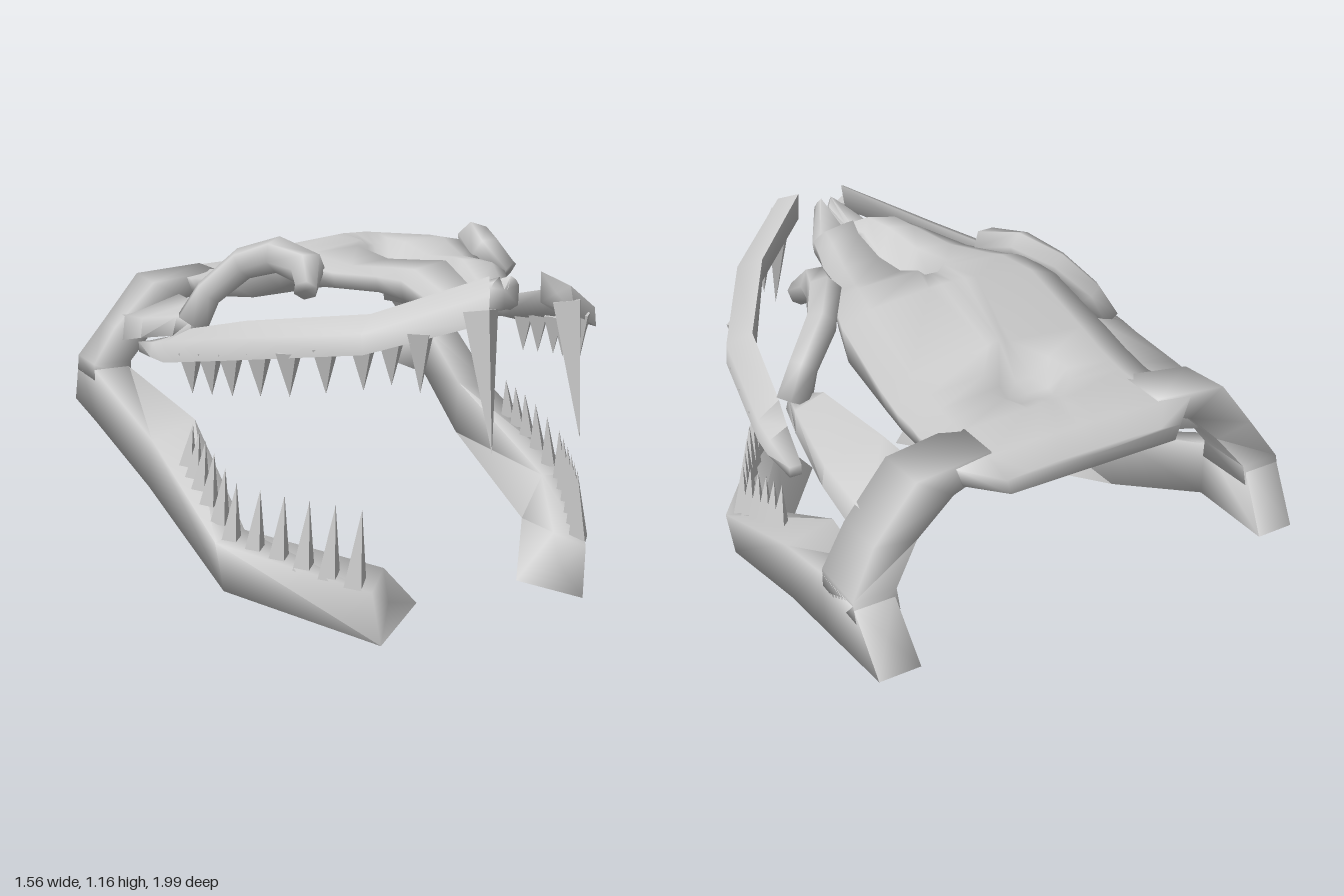
import * as THREE from 'three';
import { toCreasedNormals } from 'three/addons/utils/BufferGeometryUtils.js';

const bone = new THREE.MeshStandardMaterial({ color: 0xcccccc });
const V = (x, y, z) => new THREE.Vector3(x, y, z);

// Closed skin over a row of rings; each ring is a list of [x, y, z] corners.
function loft(name, rings, side = 1) {
  const n = rings[0].length, pos = [], idx = [];
  const last = (rings.length - 1) * n;
  for (const ring of rings) for (const [x, y, z] of ring) pos.push(x * side, y, z);
  for (let r = 0; r < rings.length - 1; r++) {
    for (let i = 0; i < n; i++) {
      const a = r * n + i, b = r * n + (i + 1) % n;
      idx.push(a, b, b + n, a, b + n, a + n);
    }
  }
  // end caps fan out from their centres
  for (const start of [0, last]) {
    const c = pos.length / 3, m = V(0, 0, 0);
    for (let i = 0; i < n; i++) m.add(V().fromArray(pos, (start + i) * 3));
    pos.push(...m.divideScalar(n).toArray());
    for (let i = 0; i < n; i++) {
      const a = start + i, b = start + (i + 1) % n;
      if (start === 0) idx.push(c, b, a); else idx.push(c, a, b);
    }
  }
  // turn the faces outward, judged by the enclosed volume
  const p = (i) => V().fromArray(pos, i * 3);
  let volume = 0;
  for (let i = 0; i < idx.length; i += 3) volume += p(idx[i]).dot(p(idx[i + 1]).cross(p(idx[i + 2])));
  if (volume < 0) idx.reverse();
  const g = new THREE.BufferGeometry();
  g.setAttribute('position', new THREE.Float32BufferAttribute(pos, 3));
  g.setIndex(idx);
  const mesh = new THREE.Mesh(toCreasedNormals(g, 1.75), bone);
  mesh.name = name;
  return mesh;
}

// Six-sided rod along a path, with a radius per point.
function rod(name, path, radii, side) {
  const pts = path.map((q) => V(...q));
  const rings = pts.map((q, k) => {
    const t = pts[Math.min(k + 1, pts.length - 1)].clone().sub(pts[Math.max(k - 1, 0)]).normalize();
    const u = V(1, 0.3, 0.9).cross(t).normalize(), w = t.clone().cross(u);
    return Array.from({ length: 6 }, (_, i) => {
      const a = i * Math.PI / 3;
      return q.clone().addScaledVector(u, Math.cos(a) * radii[k]).addScaledVector(w, Math.sin(a) * radii[k]).toArray();
    });
  });
  return loft(name, rings, side);
}

// Four-sided spike
function tooth(name, base, tip, radius, side) {
  const a = V(base.x * side, base.y, base.z), b = V(tip.x * side, tip.y, tip.z);
  const d = b.clone().sub(a);
  const mesh = new THREE.Mesh(toCreasedNormals(new THREE.ConeGeometry(radius, d.length(), 4), 0.5), bone);
  mesh.quaternion.setFromUnitVectors(V(0, 1, 0), d.normalize());
  mesh.position.copy(a).add(b).multiplyScalar(0.5);
  mesh.name = name;
  return mesh;
}

// Point at fraction t of a polyline
function along(points, t) {
  const f = t * (points.length - 1), i = Math.min(Math.floor(f), points.length - 2);
  return points[i].clone().lerp(points[i + 1], f - i);
}

// Skull roof: z, pit half width, half width, pit floor, rim, edge, edge bottom, centre bottom
function skullRoof() {
  const rows = [
    [0.81, 0.02, 0.05, 1.07, 1.11, 1.08, 1.02, 1.01],
    [0.65, 0.02, 0.14, 1.04, 1.06, 1.01, 0.97, 0.99],
    [0.53, 0.03, 0.19, 1.06, 1.12, 1.07, 1.01, 0.99],
    [0.43, 0.06, 0.22, 1.00, 1.11, 1.07, 1.02, 0.985],
    [0.25, 0.075, 0.28, 0.995, 1.09, 1.06, 1.01, 0.98],
    [0.07, 0.09, 0.35, 1.00, 1.11, 1.08, 1.0, 0.98],
    [0.02, 0.05, 0.37, 1.10, 1.12, 1.09, 0.98, 0.98],
    [-0.12, 0.09, 0.41, 1.125, 1.12, 1.06, 0.93, 0.98],
    [-0.4, 0.04, 0.425, 1.03, 1.02, 0.97, 0.89, 0.97],
    [-0.5, 0.12, 0.425, 0.93, 0.985, 0.94, 0.87, 0.92],
    [-0.57, 0.15, 0.42, 0.92, 0.97, 0.93, 0.86, 0.908],
    [-0.62, 0.12, 0.42, 0.925, 0.96, 0.92, 0.86, 0.905],
    [-0.69, 0.08, 0.42, 0.955, 0.95, 0.92, 0.86, 0.905],
    [-0.84, 0.15, 0.42, 0.94, 0.94, 0.92, 0.86, 0.88],
    [-0.93, 0.15, 0.31, 0.91, 0.91, 0.90, 0.85, 0.85],
  ];
  return loft('skullRoof', rows.map(([z, p, w, c, s, e, b, m]) => {
    const left = [[p * 0.5, c, z], [p, s, z], [w * 0.75, s * 0.6 + e * 0.4, z], [w, e, z], [w * 0.95, b, z]];
    const right = left.map(([x, y]) => [-x, y, z]).reverse();
    return [[0, c, z > 0.8 ? z - 0.04 : z], ...left, [0, m, z], ...right];
  }));
}

function half(side) {
  const g = new THREE.Group();
  g.name = side > 0 ? 'leftSide' : 'rightSide';

  // lower jaw, corners in order: bottom outer, top outer, top inner, bottom inner
  g.add(loft('lowerJaw', [
    [[0.38, 0, 0.75], [0.40, 0.17, 0.73], [0.32, 0.21, 0.66], [0.19, 0.06, 0.64]],
    [[0.685, 0.06, 0.26], [0.71, 0.23, 0.26], [0.59, 0.24, 0.22], [0.52, 0.08, 0.2]],
    [[0.72, 0.25, -0.32], [0.715, 0.43, -0.28], [0.55, 0.48, -0.29], [0.56, 0.27, -0.32]],
    [[0.78, 0.40, -0.70], [0.78, 0.60, -0.68], [0.65, 0.60, -0.68], [0.64, 0.42, -0.70]],
    [[0.765, 0.42, -1], [0.78, 0.61, -0.88], [0.65, 0.61, -0.88], [0.63, 0.42, -1]],
  ], side));

  // hinge bone from the jaw joint up to the back of the skull
  g.add(loft('hingeBone', [
    [[0.78, 0.56, -0.69], [0.78, 0.56, -0.90], [0.64, 0.56, -0.90], [0.64, 0.56, -0.69]],
    [[0.78, 0.62, -0.69], [0.78, 0.62, -0.88], [0.64, 0.62, -0.88], [0.64, 0.62, -0.69]],
    [[0.70, 0.75, -0.68], [0.69, 0.75, -0.84], [0.55, 0.73, -0.84], [0.55, 0.73, -0.68]],
    [[0.55, 0.91, -0.66], [0.55, 0.92, -0.84], [0.43, 0.84, -0.84], [0.43, 0.84, -0.66]],
    [[0.30, 0.94, -0.65], [0.30, 0.94, -0.83], [0.30, 0.88, -0.83], [0.30, 0.88, -0.65]],
  ], side));

  // bar running forward from the hinge bone to the upper jaw
  g.add(loft('cheekBar', [
    [[0.67, 0.69, -0.74], [0.66, 0.79, -0.74], [0.45, 0.86, -0.74], [0.47, 0.74, -0.74]],
    [[0.67, 0.75, -0.48], [0.66, 0.82, -0.48], [0.46, 0.86, -0.48], [0.49, 0.76, -0.48]],
    [[0.64, 0.80, -0.24], [0.63, 0.87, -0.22], [0.52, 0.895, -0.2], [0.54, 0.82, -0.22]],
    [[0.62, 0.83, -0.13], [0.61, 0.87, -0.13], [0.57, 0.87, -0.13], [0.57, 0.83, -0.13]],
  ], side));

  // upper jaw
  g.add(loft('upperJaw', [
    [[0.15, 1.01, 0.95], [0.14, 1.09, 0.94], [0.09, 1.125, 0.86], [0.10, 1.03, 0.85]],
    [[0.42, 0.90, 0.71], [0.42, 0.96, 0.70], [0.35, 1.00, 0.63], [0.36, 0.92, 0.62]],
    [[0.655, 0.82, 0.27], [0.65, 0.89, 0.27], [0.57, 0.93, 0.23], [0.57, 0.84, 0.22]],
    [[0.72, 0.74, -0.12], [0.715, 0.81, -0.12], [0.63, 0.85, -0.1], [0.62, 0.77, -0.1]],
    [[0.73, 0.74, -0.22], [0.72, 0.79, -0.22], [0.65, 0.81, -0.2], [0.65, 0.75, -0.2]],
    [[0.72, 0.73, -0.36], [0.72, 0.765, -0.36], [0.68, 0.765, -0.36], [0.68, 0.73, -0.36]],
  ], side));

  // arch behind the eye socket
  g.add(rod('eyeArch',
    [[0.385, 1.015, 0.27], [0.34, 1.07, 0.2], [0.38, 1.10, 0.06], [0.45, 1.06, -0.06], [0.55, 0.96, -0.125], [0.60, 0.86, -0.15]],
    [0.04, 0.06, 0.06, 0.055, 0.05, 0.06], side));

  // fang and the row of upper teeth
  g.add(tooth('fang', V(0.15, 1.04, 0.91), V(0.155, 0.64, 0.99), 0.055, side));
  const upper = [V(0.28, 0.97, 0.8), V(0.39, 0.92, 0.66), V(0.53, 0.87, 0.45), V(0.62, 0.83, 0.22), V(0.66, 0.79, -0.02)];
  for (let i = 0; i < 9; i++) {
    const base = along(upper, i / 8);
    const tip = base.clone().add(V(0, i ? -0.14 : -0.18, 0));
    g.add(tooth('upperTooth', base, tip, 0.045, side));
  }

  // lower teeth
  const lower = [V(0.42, 0.17, 0.66), V(0.54, 0.19, 0.46), V(0.65, 0.22, 0.25), V(0.66, 0.32, 0.05), V(0.655, 0.38, -0.1)];
  for (let i = 0; i < 11; i++) {
    const t = i / 10, base = along(lower, t);
    const tip = base.clone().add(V(-0.02, 0.245 - 0.1 * t, 0.01));
    g.add(tooth('lowerTooth', base, tip, 0.04 - 0.008 * t, side));
  }
  return g;
}

export function createModel() {
  const model = new THREE.Group();
  model.name = 'reptileSkull';
  model.add(skullRoof(), half(1), half(-1));
  return model;
}
